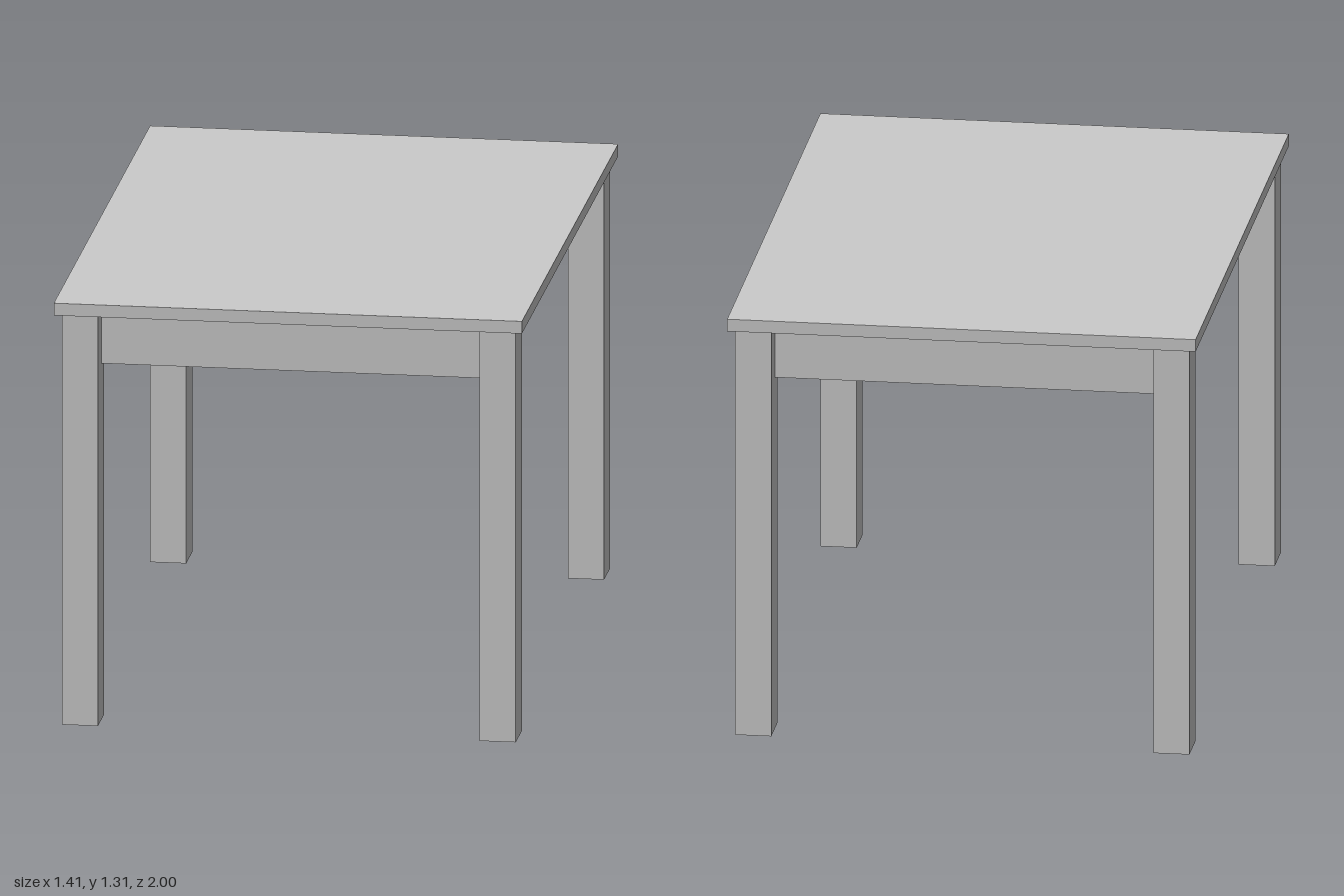
import * as THREE from 'three';

const material = new THREE.MeshStandardMaterial({ color: 0xcccccc });

// Box given by its size, the height of its underside and its centre in x and z
function addBox(parent, name, [w, h, d], x, bottom, z) {
  const mesh = new THREE.Mesh(new THREE.BoxGeometry(w, h, d), material);
  mesh.name = name;
  mesh.position.set(x, bottom + h / 2, z);
  parent.add(mesh);
}

export function createModel() {
  const table = new THREE.Group();
  table.name = 'table';

  const legHeight = 1.274, legWidth = 0.109, legDepth = 0.129;
  const legX = 0.631, legZ = 0.916;
  const apronHeight = 0.163, apronBottom = 1.104, apronThickness = 0.033;

  // Table top
  addBox(table, 'tableTop', [1.414, 0.038, 2], 0, legHeight, 0);

  // Four legs
  for (const sx of [-1, 1]) {
    for (const sz of [-1, 1]) {
      const name = (sz > 0 ? 'front' : 'back') + (sx > 0 ? 'Left' : 'Right') + 'Leg';
      addBox(table, name, [legWidth, legHeight, legDepth], sx * legX, 0, sz * legZ);
    }
  }

  // Aprons between the legs, set back from the legs' outer faces and just below the top
  const endLength = 2 * legX - legWidth, sideLength = 2 * legZ - legDepth;
  for (const s of [-1, 1]) {
    addBox(table, s > 0 ? 'frontApron' : 'backApron',
      [endLength, apronHeight, apronThickness], 0, apronBottom, s * 0.887);
    addBox(table, s > 0 ? 'leftApron' : 'rightApron',
      [apronThickness, apronHeight, sideLength], s * 0.593, apronBottom, 0);
  }

  return table;
}
